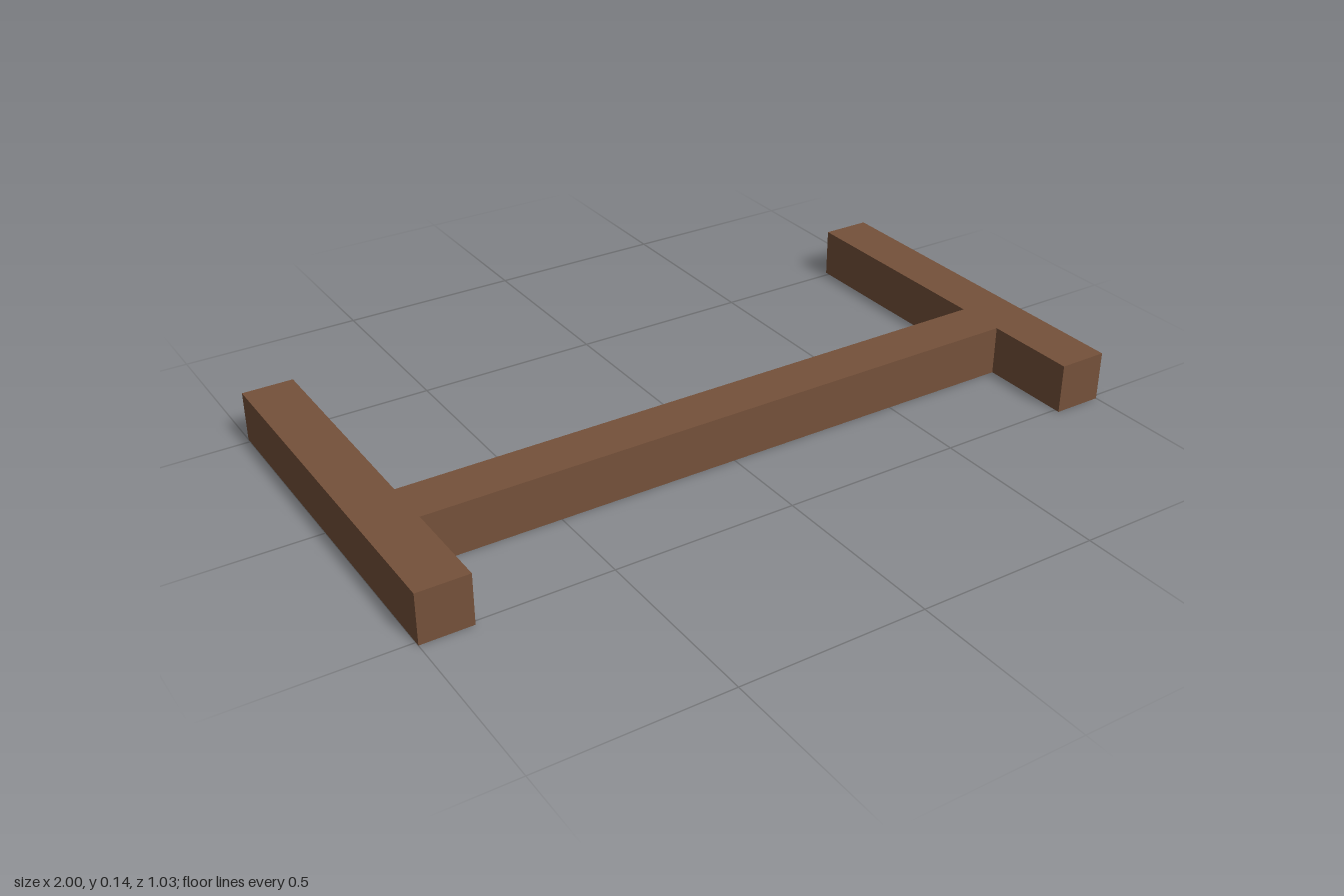
import * as THREE from 'three';

export function createModel() {
  const model = new THREE.Group();
  model.name = 'woodenFrame';
  const wood = new THREE.MeshStandardMaterial({ color: 0x75513a });
  wood.name = 'brown wood';

  const beam = 0.137; // square section of every beam
  const depth = 1.026;

  const addBeam = (name, width, length, x, z) => {
    const mesh = new THREE.Mesh(new THREE.BoxGeometry(width, beam, length), wood);
    mesh.name = name;
    mesh.position.set(x, beam / 2, z);
    model.add(mesh);
  };

  // Side beams, mirrored
  for (const side of [1, -1]) {
    addBeam(side > 0 ? 'leftBeam' : 'rightBeam', beam, depth, side * (1 - beam / 2), 0);
  }

  // Cross beam, set towards the front and butted between the side beams
  addBeam('crossBeam', 2 - 2 * beam, beam, 0, 0.183);

  return model;
}
